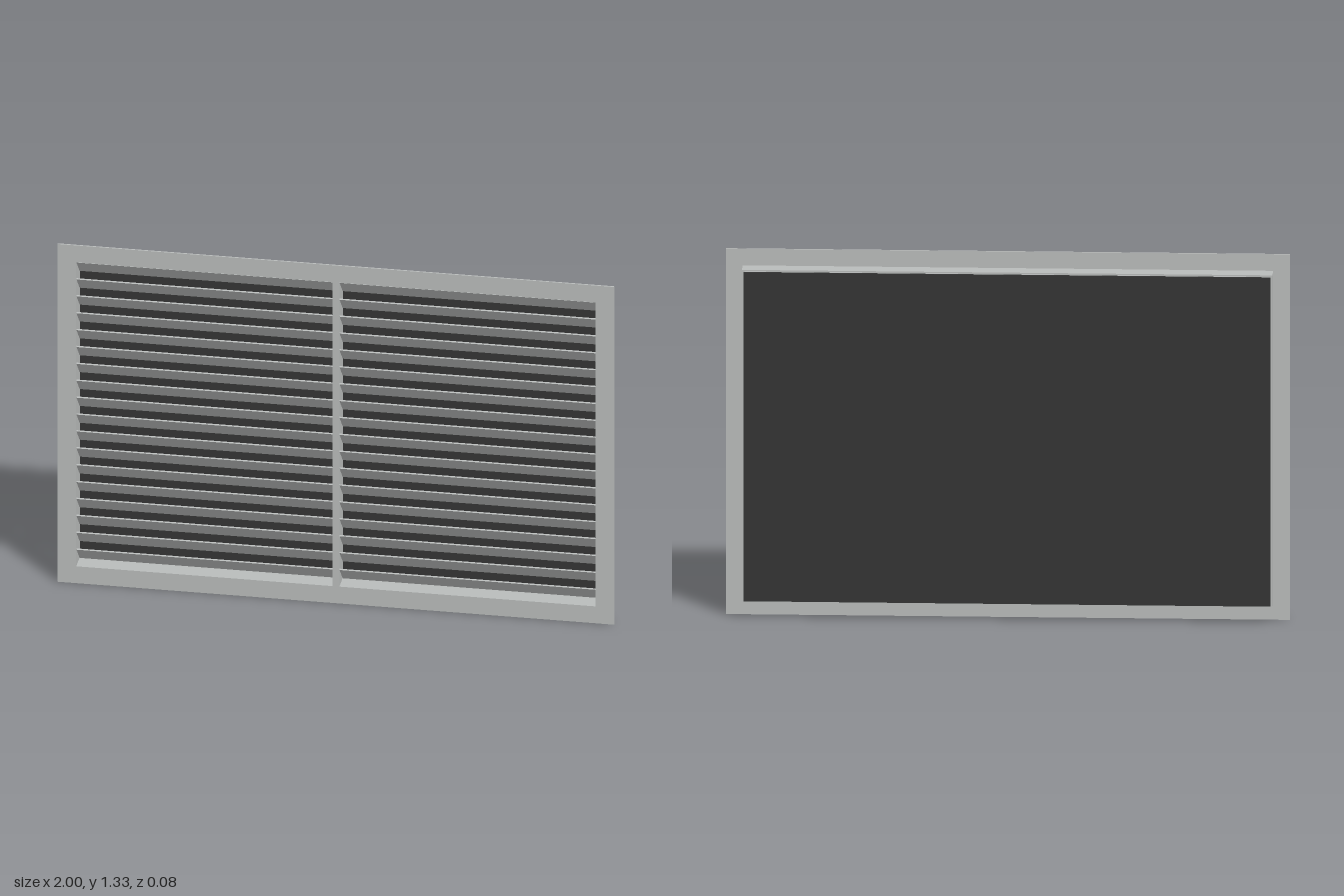
import * as THREE from 'three';

export function createModel() {
  const group = new THREE.Group();
  group.name = 'louvreGrille';
  const grey = new THREE.MeshStandardMaterial({ color: 0xb9bcbb });
  grey.name = 'silver grey';
  const dark = new THREE.MeshStandardMaterial({ color: 0x353535 });
  dark.name = 'dark mesh';

  const W = 2, H = 1.333, midY = H / 2;
  const openW = 1.866, openH = 1.2;          // clear opening
  const zFront = 0.042, zFlange = 0.036, zCollar = -0.031;

  const add = (name, geometry, material, x, y, z) => {
    const mesh = new THREE.Mesh(geometry, material);
    mesh.name = name;
    mesh.position.set(x, y, z);
    group.add(mesh);
    return mesh;
  };

  // Rectangular ring extruded along z
  const ring = (w, h, iw, ih, depth) => {
    const rect = (Type, a, b) => new Type([
      new THREE.Vector2(-a / 2, -b / 2), new THREE.Vector2(a / 2, -b / 2),
      new THREE.Vector2(a / 2, b / 2), new THREE.Vector2(-a / 2, b / 2),
    ]);
    const shape = rect(THREE.Shape, w, h);
    shape.holes.push(rect(THREE.Path, iw, ih));
    return new THREE.ExtrudeGeometry(shape, { depth, bevelEnabled: false });
  };

  // Face flange and the collar behind it
  add('faceFlange', ring(W, H, openW, openH, zFront - zFlange), grey, 0, midY, zFlange);
  add('collar', ring(openW + 0.014, openH + 0.012, openW, openH, zFlange - zCollar), grey, 0, midY, zCollar);

  // Centre mullion
  const mullionW = 0.025, depth = zFront - zCollar;
  add('mullion', new THREE.BoxGeometry(mullionW, openH, depth), grey, 0, midY, (zFront + zCollar) / 2);

  // Slanted blades: front edge high, rear edge low
  const count = 18, pitch = openH / count, t = 0.005;
  const zf = 0.037, zb = -0.03;
  const bladeW = (openW - mullionW) / 2;
  const bladeGeo = new THREE.BoxGeometry(bladeW, t, Math.hypot(pitch, zf - zb) - t);
  const tilt = -Math.atan2(pitch, zf - zb);
  for (const side of [-1, 1]) {
    for (let i = 0; i < count; i++) {
      const blade = add('blade', bladeGeo, grey,
        side * (mullionW + bladeW) / 2,
        midY - openH / 2 + (i + 0.5) * pitch,
        (zf + zb) / 2);
      blade.rotation.x = tilt;
    }
  }

  // Dark insect screen floating just behind the collar
  add('rearScreen', new THREE.BoxGeometry(openW, openH, 0.006), dark, 0, midY, -0.039);

  return group;
}
